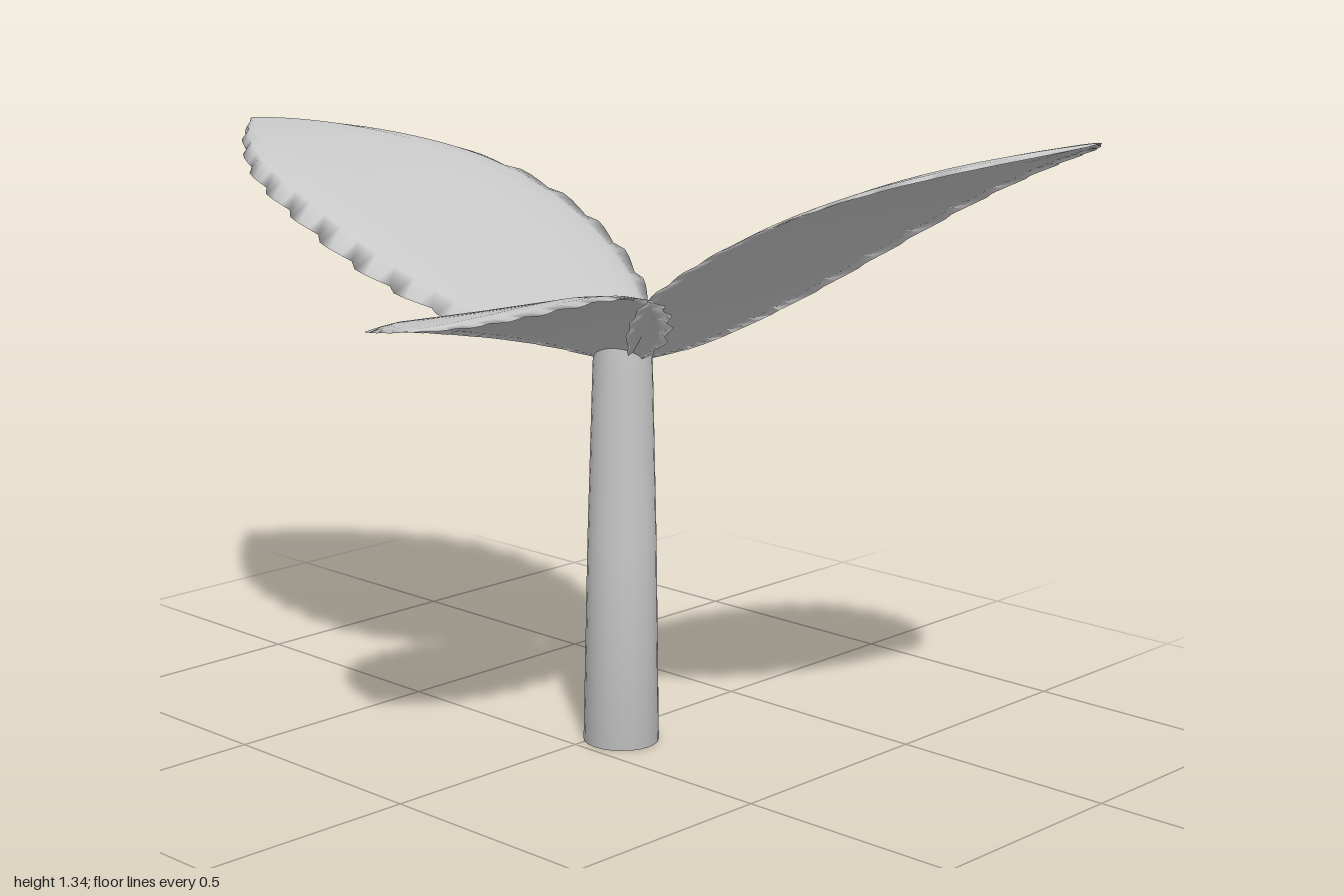
import * as THREE from 'three';

const ROWS = 56;
const TOP = [-1, -0.85, -0.65, -0.35, 0, 0.35, 0.65, 0.85, 1];
// Cross-section ring: over the top of the blade, then back along the underside
const RING = [
  ...TOP.map((s) => [s, 1]),
  ...TOP.slice(1, -1).reverse().map((s) => [s, -1]),
];
const TOOTH = [-0.5, 0.1, 0.7, 1]; // sawtooth steps along a leaf margin
const HALF_THICKNESS = 0.008;

// Smooth margin through a few plan points [x, z]
const margin = (pts) => new THREE.CatmullRomCurve3(pts.map(([x, z]) => new THREE.Vector3(x, 0, z)));

// Thin solid blade lofted between two margins; height(x, z) lifts it, edges are toothed and curl down
function leaf(name, edgeA, edgeB, height, curl, material) {
  const a = margin(edgeA), b = margin(edgeB);
  const positions = [], index = [], n = RING.length;
  for (let i = 0; i <= ROWS; i++) {
    const t = i / ROWS;
    const pa = a.getPoint(t), pb = b.getPoint(t);
    const mid = pa.clone().add(pb).multiplyScalar(0.5);
    const half = pb.clone().sub(pa).multiplyScalar(0.5);
    const fullness = Math.sqrt(Math.max(0, Math.sin(Math.PI * t)));
    for (const [s, side] of RING) {
      const rim = Math.max(0, (Math.abs(s) - 0.65) / 0.35);
      const tooth = Math.abs(s) === 1 ? TOOTH[(i + (s > 0 ? 2 : 0)) % 4] * fullness : 0;
      const p = mid.clone().addScaledVector(half, s);
      const y = height(p.x, p.z) - curl * fullness * rim * rim
        + side * HALF_THICKNESS * fullness * (1 - s ** 4);
      p.addScaledVector(half.clone().normalize(), 0.013 * tooth * Math.sign(s));
      positions.push(p.x, y, p.z);
    }
  }
  for (let i = 0; i < ROWS; i++) {
    for (let j = 0; j < n; j++) {
      const k = i * n + j, next = i * n + (j + 1) % n;
      index.push(k, k + n, next, next, k + n, next + n);
    }
  }
  const geometry = new THREE.BufferGeometry();
  geometry.setAttribute('position', new THREE.Float32BufferAttribute(positions, 3));
  geometry.setIndex(index);
  geometry.computeVertexNormals();
  const mesh = new THREE.Mesh(geometry, material);
  mesh.name = name;
  return mesh;
}

export function createModel() {
  const group = new THREE.Group();
  group.name = 'sprout';
  const grey = new THREE.MeshStandardMaterial({ color: 0xc8c8c8 });
  grey.name = 'plain grey';

  // Tapered stem with a softly rounded top and foot
  const profile = [
    [0, 0], [0.081, 0], [0.073, 0.45], [0.063, 0.82], [0.058, 0.93], [0.05, 0.952], [0, 0.96],
  ].map(([r, y]) => new THREE.Vector2(r, y));
  const stem = new THREE.Mesh(new THREE.LatheGeometry(profile, 24), grey);
  stem.name = 'stem';
  stem.position.set(0.042, 0, -0.098);
  group.add(stem);

  // Right leaf, arching out toward -x
  group.add(leaf('rightLeaf',
    [[0.03, -0.14], [-0.04, -0.28], [-0.18, -0.37], [-0.36, -0.4], [-0.58, -0.36], [-0.79, -0.22], [-0.92, -0.08], [-1, 0.04]],
    [[0.03, -0.14], [-0.06, 0.05], [-0.15, 0.21], [-0.29, 0.31], [-0.47, 0.335], [-0.66, 0.3], [-0.85, 0.18], [-1, 0.04]],
    (x) => {
      const u = (0.03 - x) / 1.03;
      return 0.825 + 0.44 * (1.9 * u - 0.91 * u * u);
    }, 0.025, grey));

  // Left leaf, rising highest toward +x and the back
  group.add(leaf('leftLeaf',
    [[0.06, -0.1], [0.2, 0.05], [0.31, 0.12], [0.46, 0.14], [0.62, 0.115], [0.78, 0.03], [0.92, -0.14], [1, -0.4]],
    [[0.06, -0.1], [0.09, -0.32], [0.2, -0.49], [0.35, -0.58], [0.55, -0.61], [0.75, -0.585], [0.9, -0.515], [1, -0.4]],
    (x) => {
      const u = (x - 0.06) / 0.94;
      return 0.83 + 0.52 * (1.58 * u - 0.59 * u * u);
    }, 0.015, grey));

  // Small front leaf, rolled so its +x side sits higher, most strongly near the stem
  group.add(leaf('frontLeaf',
    [[0.05, -0.1], [-0.03, 0], [-0.1, 0.11], [-0.145, 0.23], [-0.14, 0.36], [-0.08, 0.49], [0.03, 0.57], [0.17, 0.62]],
    [[0.05, -0.1], [0.18, -0.07], [0.27, 0.01], [0.325, 0.12], [0.345, 0.25], [0.325, 0.41], [0.265, 0.53], [0.17, 0.62]],
    (x, z) => {
      const v = (z + 0.1) / 0.72;
      return 0.84 + 0.16 * (1 - (1 - v) ** 4) + (0.4 - 0.26 * v) * (x - 0.1);
    }, 0.012, grey));

  return group;
}
